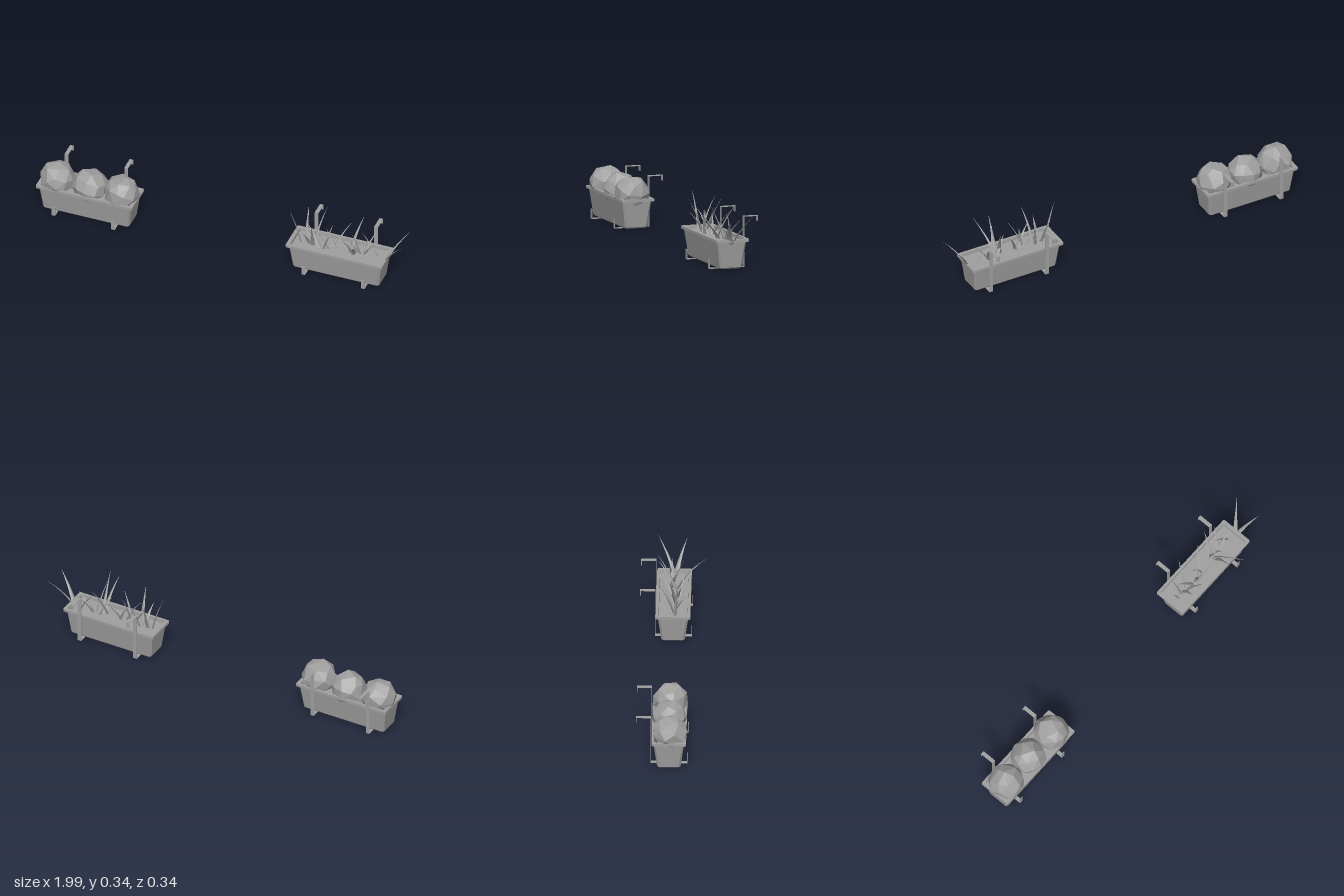
import * as THREE from 'three';
import { ConvexGeometry } from 'three/addons/geometries/ConvexGeometry.js';

const grey = new THREE.MeshStandardMaterial({ color: 0xa0a0a0, flatShading: true });
grey.name = 'grey';

function add(parent, name, geometry, x = 0, y = 0, z = 0) {
  const mesh = new THREE.Mesh(geometry, grey);
  mesh.name = name;
  mesh.position.set(x, y, z);
  parent.add(mesh);
  return mesh;
}

// Small repeatable random source
function seeded(seed) {
  return () => {
    seed = (seed * 16807) % 2147483647;
    return seed / 2147483647;
  };
}

// Skin stacked chamfered rectangles [y, halfX, halfZ, chamfer], closed at the first
function loftBox(levels) {
  const rings = levels.map(([y, hx, hz, c]) => [
    [hx, -hz + c], [hx, hz - c], [hx - c, hz], [-hx + c, hz],
    [-hx, hz - c], [-hx, -hz + c], [-hx + c, -hz], [hx - c, -hz],
  ].map(([x, z]) => new THREE.Vector3(x, y, z)));
  const points = [];
  for (let i = 1; i < 7; i++) points.push(rings[0][0], rings[0][i], rings[0][i + 1]);
  for (let r = 0; r < rings.length - 1; r++) {
    for (let i = 0; i < 8; i++) {
      const j = (i + 1) % 8, a = rings[r], b = rings[r + 1];
      points.push(a[i], b[i], a[j], a[j], b[i], b[j]);
    }
  }
  const geometry = new THREE.BufferGeometry().setFromPoints(points);
  geometry.computeVertexNormals();
  return geometry;
}

// Flat strip bent under the trough, up its back and over a railing
function strapGeometry() {
  const t = 0.003;
  const outline = [
    [0.091, 0.052], [0.091, 0], [-0.098, 0], [-0.098, 0.258], [-0.169, 0.258], [-0.169, 0.232],
    [-0.169 - t, 0.232], [-0.169 - t, 0.258 + t], [-0.098 + t, 0.258 + t], [-0.098 + t, t],
    [0.091 - t, t], [0.091 - t, 0.052],
  ];
  const shape = new THREE.Shape(outline.map(([z, y]) => new THREE.Vector2(-z, y)));
  const geometry = new THREE.ExtrudeGeometry(shape, { depth: 0.02, bevelEnabled: false });
  return geometry.translate(0, 0, -0.01).rotateY(Math.PI / 2);
}

function planter(name, x) {
  const group = new THREE.Group();
  group.name = name;
  group.position.x = x;
  add(group, 'trough', loftBox([
    [0.005, 0.229, 0.054, 0.008],
    [0.012, 0.235, 0.06, 0.01],
    [0.144, 0.25, 0.078, 0.01],
    [0.144, 0.262, 0.088, 0.005],
    [0.158, 0.262, 0.088, 0.005],
    [0.158, 0.243, 0.074, 0.005],
    [0.13, 0.24, 0.072, 0.005],
  ]), 0, 0, -0.004);
  add(group, 'soil', new THREE.BoxGeometry(0.482, 0.01, 0.146), 0, 0.135, -0.004);
  for (const side of [-1, 1]) add(group, 'hangingStrap', strapGeometry(), side * 0.162);
  return group;
}

// Faceted ball from an uneven spiral of points
function bushGeometry(radius, seed) {
  const random = seeded(seed), points = [], count = 32;
  for (let i = 0; i < count; i++) {
    const y = 1 - 2 * (i + 0.5) / count;
    const angle = i * 2.39996 + random() * 0.5;
    const ring = Math.sqrt(1 - y * y);
    points.push(new THREE.Vector3(ring * Math.cos(angle), y, ring * Math.sin(angle))
      .multiplyScalar(radius * (0.96 + random() * 0.06)));
  }
  return new ConvexGeometry(points);
}

// Four-sided cone flattened and bent along a curve from base to tip
function bladeGeometry(base, tip, width) {
  const middle = base.clone().lerp(tip, 0.5);
  middle.x += (base.x - tip.x) * 0.12;
  middle.z += (base.z - tip.z) * 0.12;
  middle.y += 0.012;
  const curve = new THREE.QuadraticBezierCurve3(base, middle, tip);
  const direction = tip.clone().sub(base).normalize();
  const side = new THREE.Vector3().crossVectors(direction, new THREE.Vector3(0, 1, 0)).normalize();
  const normal = new THREE.Vector3().crossVectors(side, direction);
  const geometry = new THREE.ConeGeometry(1, 1, 4, 4, true);
  const position = geometry.attributes.position;
  for (let i = 0; i < position.count; i++) {
    const p = curve.getPoint(position.getY(i) + 0.5)
      .addScaledVector(side, position.getX(i) * width)
      .addScaledVector(normal, position.getZ(i) * width * 0.45);
    position.setXYZ(i, p.x, p.y, p.z);
  }
  geometry.computeVertexNormals();
  return geometry;
}

export function createModel() {
  const model = new THREE.Group();
  model.name = 'windowPlanters';

  // Planter with three round bushes
  const bushPlanter = planter('bushPlanter', -0.728);
  [[-0.176, 0.176, 0], [0, 0.171, -0.005], [0.174, 0.178, 0]].forEach(([x, y, z], i) => {
    const bush = add(bushPlanter, 'bush', bushGeometry(0.094, 17 + i * 911), x, y, z);
    bush.rotation.set(0.4 + i, i * 1.3, 0.3 * i);
  });
  model.add(bushPlanter);

  // Planter with grass: base x, base z, tip x, tip y, tip z
  const grassPlanter = planter('grassPlanter', 0.631);
  const blades = [
    [0.425, 0.005, 0.361, 0.342, 0.02], [0.45, 0.0, 0.435, 0.315, -0.08],
    [0.47, 0.0, 0.455, 0.25, 0.08], [0.49, -0.01, 0.535, 0.33, -0.088],
    [0.49, 0.01, 0.515, 0.322, 0.1], [0.53, 0.015, 0.445, 0.25, -0.02],
    [0.55, 0.02, 0.62, 0.285, 0.055], [0.58, 0.01, 0.5, 0.26, 0.04],
    [0.56, 0.02, 0.59, 0.28, -0.02], [0.6, 0.0, 0.676, 0.28, -0.083],
    [0.61, 0.0, 0.55, 0.24, -0.02], [0.69, 0.01, 0.735, 0.326, -0.09],
    [0.71, 0.0, 0.76, 0.295, 0.168], [0.71, 0.01, 0.685, 0.308, 0.13],
    [0.72, -0.02, 0.66, 0.25, 0.01], [0.74, -0.01, 0.71, 0.31, 0.05],
    [0.76, -0.015, 0.807, 0.25, -0.085], [0.76, -0.015, 0.845, 0.24, -0.013],
    [0.83, -0.015, 0.74, 0.26, -0.03], [0.88, -0.005, 0.992, 0.3, -0.09],
    [0.88, 0.005, 0.99, 0.285, 0.06],
  ];
  blades.forEach(([bx, bz, tx, ty, tz], i) => {
    const base = new THREE.Vector3(bx - 0.631, 0.136, bz);
    const tip = new THREE.Vector3(tx - 0.631, ty, tz);
    add(grassPlanter, 'grassBlade', bladeGeometry(base, tip, 0.01 + 0.002 * (i % 3)));
  });
  model.add(grassPlanter);
  return model;
}
